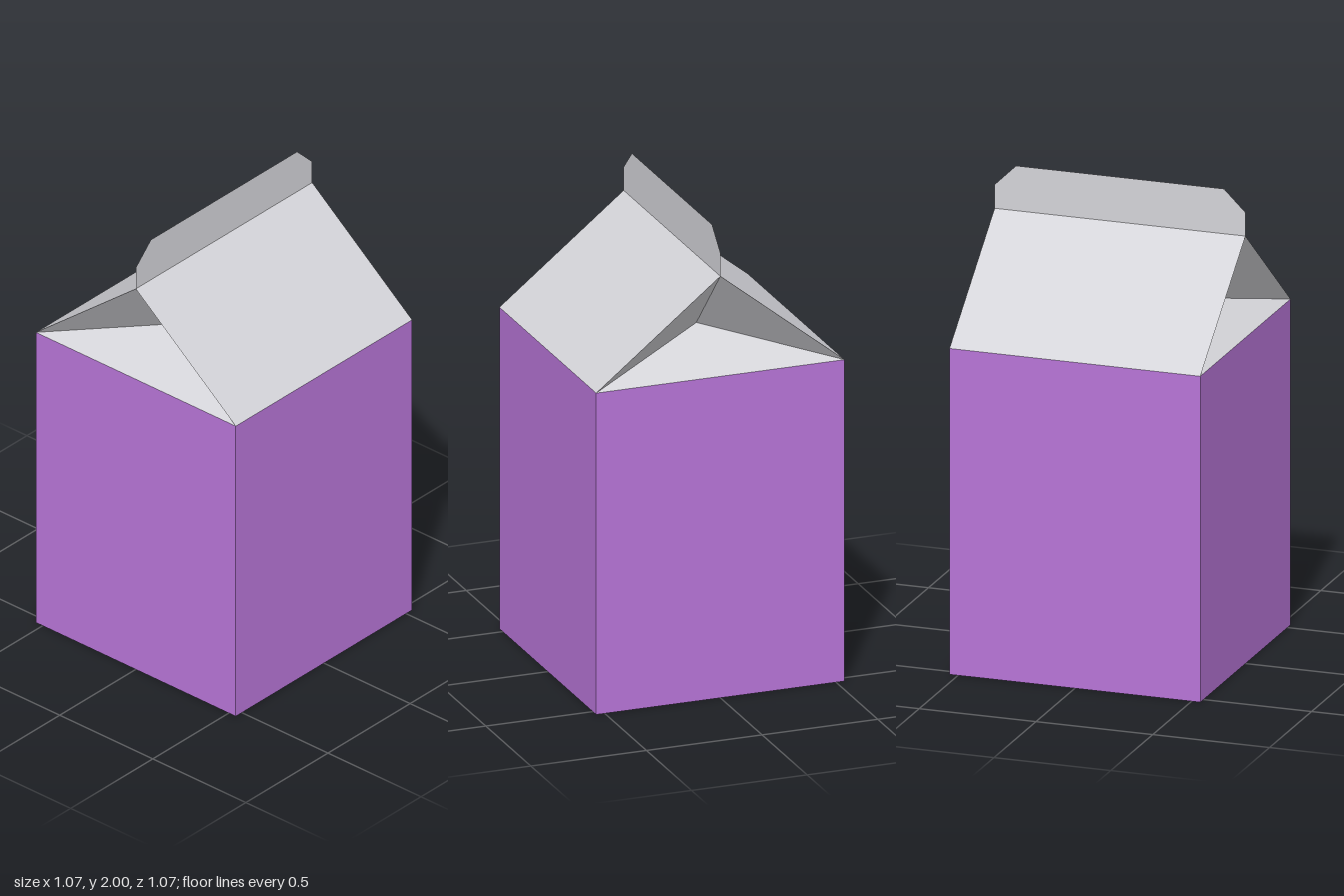
import * as THREE from 'three';

const W = 0.537;       // half width and half depth
const EAVE = 1.38;     // top of the box
const RIDGE = 1.81;    // top of the gable
const FIN = 2.0;       // top of the sealed fin
const TUCK = [0, 1.52, 0.27]; // deepest point of the folded gusset

// Flat faceted surface from triangles, each a list of three corners
function facets(name, triangles, material) {
  const geometry = new THREE.BufferGeometry();
  geometry.setAttribute('position', new THREE.Float32BufferAttribute(triangles.flat(2), 3));
  geometry.computeVertexNormals();
  const mesh = new THREE.Mesh(geometry, material);
  mesh.name = name;
  return mesh;
}

export function createModel() {
  const purple = new THREE.MeshStandardMaterial({ color: 0xb875d8 });
  purple.name = 'purple card';
  const grey = new THREE.MeshStandardMaterial({ color: 0xd4d4d9, side: THREE.DoubleSide });
  grey.name = 'pale grey card';
  const base = new THREE.MeshStandardMaterial({ color: 0xb8b8cb });
  base.name = 'base grey';

  const carton = new THREE.Group();
  carton.name = 'carton';

  // Square body: purple walls with a grey underside
  const body = new THREE.Mesh(
    new THREE.BoxGeometry(2 * W, EAVE, 2 * W),
    [purple, purple, grey, base, purple, purple]
  );
  body.name = 'body';
  body.position.y = EAVE / 2;
  carton.add(body);

  // Half of the folded top, repeated by a half turn
  for (const [side, turn] of [['Left', 0], ['Right', Math.PI]]) {
    const half = new THREE.Group();
    half.name = 'top' + side;
    half.rotation.y = turn;

    // Sloping roof panel
    const a = [W, EAVE, W], b = [W, EAVE, -W], c = [0, RIDGE, -W], d = [0, RIDGE, W];
    half.add(facets('roofPanel', [[a, b, c], [a, c, d]], grey));

    // Gusset tucked in under the gable
    const l = [-W, EAVE, W];
    half.add(facets('gussetFlap', [[l, a, TUCK]], grey));
    half.add(facets('gussetFolds', [[l, TUCK, d], [TUCK, a, d]], grey));
    carton.add(half);
  }

  // Paper-thin sealed fin with clipped corners
  const outline = new THREE.Shape([
    [-W, RIDGE], [W, RIDGE], [W, 1.91], [0.445, FIN], [-0.445, FIN], [-W, 1.91],
  ].map(([x, y]) => new THREE.Vector2(x, y)));
  const fin = new THREE.Mesh(new THREE.ShapeGeometry(outline), grey);
  fin.name = 'sealedFin';
  fin.rotation.y = Math.PI / 2;
  carton.add(fin);

  return carton;
}
